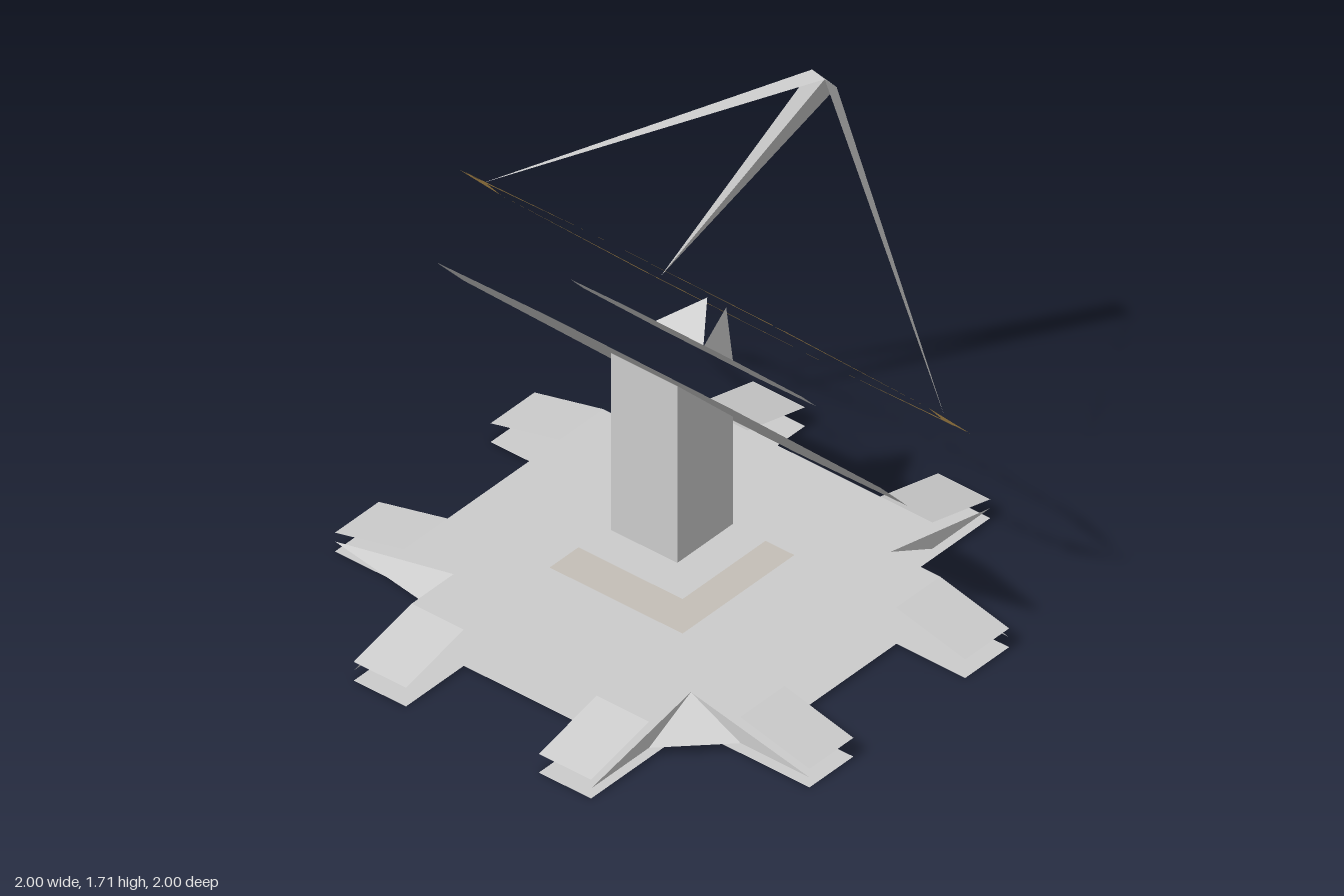
import * as THREE from 'three';

const grey = new THREE.MeshStandardMaterial({ color: 0xcccccc, flatShading: true, side: THREE.DoubleSide });
const outer = new THREE.MeshStandardMaterial({ color: 0xcccccc, flatShading: true });
const gold = new THREE.MeshStandardMaterial({ color: 0xe0b262, flatShading: true, side: THREE.DoubleSide });
const tan = new THREE.MeshStandardMaterial({ color: 0xc4bfb7, flatShading: true, side: THREE.DoubleSide });

function add(parent, name, geometry, material = grey) {
  const mesh = new THREE.Mesh(geometry, material);
  mesh.name = name;
  parent.add(mesh);
  return mesh;
}

// Flat horizontal sheet from an outline of [x, z] points
function sheet(points, y) {
  const shape = new THREE.Shape(points.map(([x, z]) => new THREE.Vector2(x, z)));
  return new THREE.ShapeGeometry(shape).rotateX(Math.PI / 2).translate(0, y, 0);
}

// Loose triangles, each given as three [x, y, z] corners
function triangles(list) {
  const g = new THREE.BufferGeometry();
  g.setAttribute('position', new THREE.Float32BufferAttribute(list.flat(2), 3));
  g.computeVertexNormals();
  return g;
}

const ring = (n, r) => Array.from({ length: n }, (_, i) => {
  const a = (i / n) * Math.PI * 2;
  return [r * Math.cos(a), r * Math.sin(a)];
});

// Repeats a quarter outline around the vertical axis
const fourfold = (quarter) => [0, 1, 2, 3].flatMap((k) => quarter.map(([x, z]) => {
  for (let i = 0; i < k; i++) [x, z] = [-z, x];
  return [x, z];
}));

const square = (h) => [[h, h], [-h, h], [-h, -h], [h, -h]];

function buildBase() {
  const base = new THREE.Group();
  base.name = 'base';
  const s = 0.5, b = 0.28, e = 0.71, top = 0.145, low = 0.04;

  // Ground plate with eight feet, and the raised deck above it
  add(base, 'groundPlate', sheet(fourfold([[e, b], [1, b], [1, s], [s, s], [s, 1], [b, 1], [b, e]]), 0));
  add(base, 'deck', sheet(fourfold([[e, s], [s, s], [s, e]]), top));

  // Ramps sloping down from the deck to the ends of the feet
  for (let k = 0; k < 4; k++) {
    for (const side of [-1, 1]) {
      const i = side * b, o = side * s;
      const ramp = add(base, 'ramp', triangles([
        [[e, top, i], [e, top, o], [1, 0.075, o]],
        [[e, top, i], [1, 0.075, o], [1, 0.075, i]],
      ]));
      ramp.rotation.y = k * Math.PI / 2;
    }
  }

  // Folded fins in the corners between the feet
  for (const sx of [-1, 1]) {
    for (const sz of [-1, 1]) {
      const p = (x, y, z) => [sx * x, y, sz * z];
      const peak = p(s, top, s);
      const fins = [
        [peak, p(e, low, s), p(1, low, s)],
        [peak, p(s, low, e), p(s, low, 1)],
      ];
      if (sx < 0) {
        fins.push([peak, p(0.57, low, 0.57), p(1, low, s)], [peak, p(0.57, low, 0.57), p(s, low, 1)]);
      } else if (sz > 0) {
        fins.push([peak, p(e, low, s), p(s, low, e)]);
      }
      add(base, 'cornerFin', triangles(fins));
    }
  }

  add(base, 'deckPatch', sheet(square(0.28), 0.152), tan);
  add(base, 'columnPlate', sheet(square(0.28), 0.29));
  return base;
}

// Column whose top is cut along the dish plane
function buildColumn() {
  const g = new THREE.BoxGeometry(0.28, 1, 0.28);
  const pos = g.attributes.position;
  for (let i = 0; i < pos.count; i++) {
    pos.setY(i, pos.getY(i) > 0 ? 0.857 + pos.getZ(i) : 0.29);
  }
  g.computeVertexNormals();
  return g;
}

// Dish built level, then tipped towards the back
function buildDish() {
  const dish = new THREE.Group();
  dish.name = 'dish';
  dish.position.y = 0.86;
  dish.rotation.x = -Math.PI / 4;

  add(dish, 'mainReflector', sheet(ring(8, 0.88), 0));
  add(dish, 'innerReflector', sheet(ring(8, 0.46), 0.15));

  // Rim of eight pointed blades
  const blades = [];
  for (const sx of [-1, 1]) {
    for (const sz of [-1, 1]) {
      const p = (x, z) => [sx * x, 0.3, sz * z];
      blades.push([p(0, 0.9), p(0.655, 0.69), p(0.605, 0.6)]);
      blades.push([p(0.9, 0), p(0.69, 0.655), p(0.6, 0.605)]);
    }
  }
  add(dish, 'rim', triangles(blades), gold);

  // Receiver of four petals leaning inwards
  const h = 0.106;
  for (let k = 0; k < 4; k++) {
    const petal = add(dish, 'receiverPetal', triangles([[[-h, 0.15, h], [h, 0.15, h], [0, 0.3, 0.05]]]), outer);
    petal.rotation.y = k * Math.PI / 2;
  }
  return dish;
}

// Three tapering struts meeting above the dish
function buildStruts() {
  const a = [0, 1.65, -0.765], b = [0, 1.585, -0.825], c = [-0.07, 1.645, -0.785];
  const right = [0.6, 0.64, -0.655], left = [-0.6, 0.64, -0.655], high = [-0.62, 1.49, 0.21];
  const struts = new THREE.Group();
  struts.name = 'struts';
  add(struts, 'rightStrut', triangles([[a, b, right]]));
  add(struts, 'leftStrut', triangles([[a, b, left], [c, b, left], [c, a, left]]));
  add(struts, 'highStrut', triangles([[c, a, high]]));
  return struts;
}

export function createModel() {
  const model = new THREE.Group();
  model.name = 'dishAntenna';
  model.add(buildBase());
  add(model, 'column', buildColumn());
  model.add(buildDish(), buildStruts());
  return model;
}
